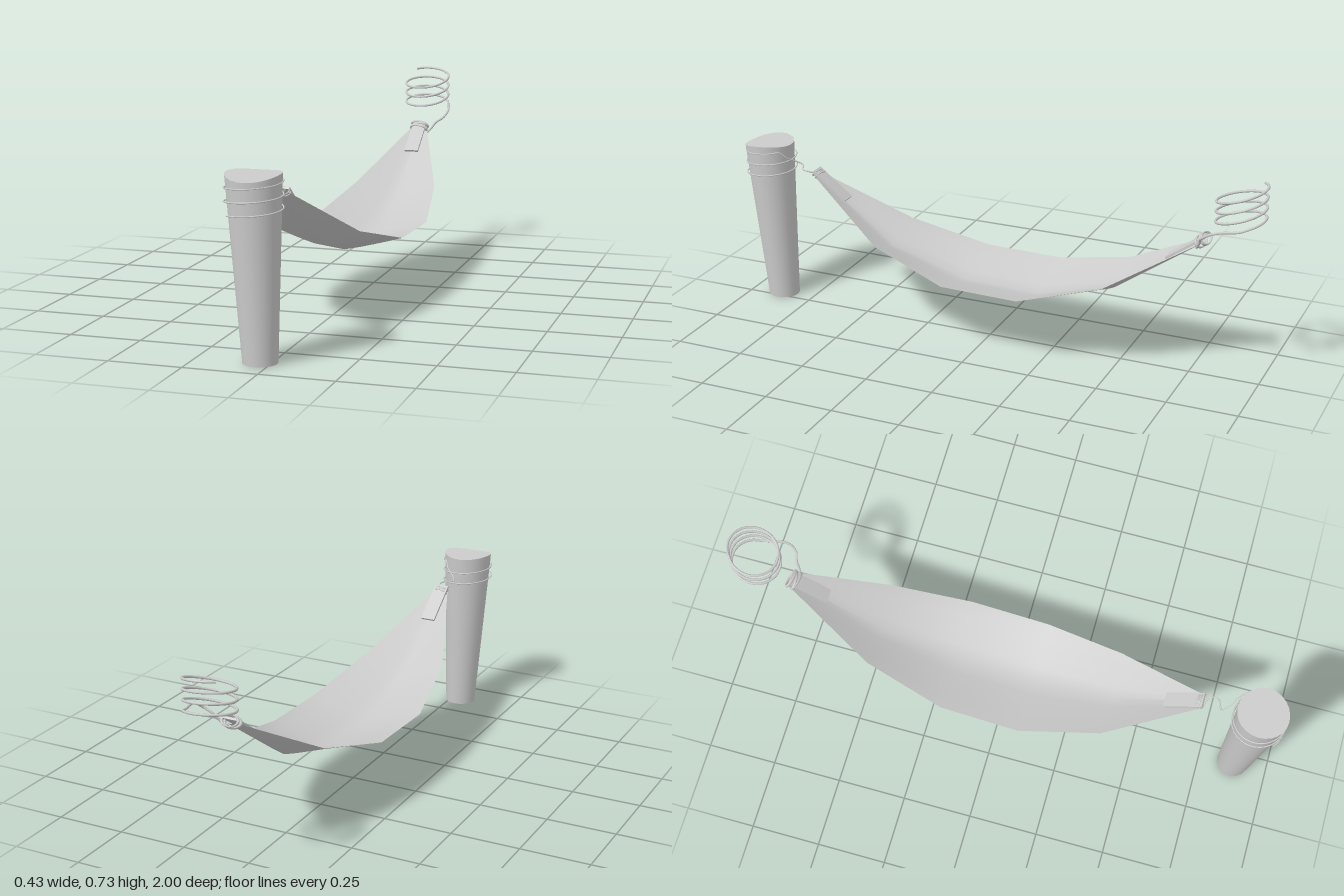
import * as THREE from 'three';

const mat = new THREE.MeshStandardMaterial({ color: 0xcccccc });
const clothMat = new THREE.MeshStandardMaterial({ color: 0xcccccc, side: THREE.DoubleSide });

function add(parent, name, geometry, material = mat) {
  const mesh = new THREE.Mesh(geometry, material);
  mesh.name = name;
  parent.add(mesh);
  return mesh;
}

function tube(points, radius, segments) {
  return new THREE.TubeGeometry(new THREE.CatmullRomCurve3(points), segments, radius, 7);
}

// Leaning tapered post with an uneven sawn top
function postGeometry() {
  const geo = new THREE.CylinderGeometry(0.09, 0.057, 0.6, 24, 1);
  const pos = geo.attributes.position;
  for (let i = 0; i < pos.count; i++) {
    const x = pos.getX(i), z = pos.getZ(i);
    const top = pos.getY(i) > 0;
    const a = Math.atan2(x, z);
    const rim = Math.hypot(x, z) > 0.01 ? 1 : 0;
    const y = top ? 0.602 - rim * (0.006 * Math.cos(a) + 0.006 * Math.cos(2 * a)) : 0;
    pos.setXYZ(i, x + (top ? -0.04 : -0.037), y, z + (top ? 0.91 : 0.875));
  }
  return geo;
}

// Sagging sheet lofted through V-shaped cross-sections
function clothGeometry() {
  // z, centre x, half width, centre y, edge y
  const sections = [
    [0.71, -0.022, 0.022, 0.508, 0.514],
    [0.39, -0.015, 0.155, 0.28, 0.332],
    [0.1, -0.005, 0.211, 0.2, 0.254],
    [-0.19, 0.005, 0.211, 0.2, 0.254],
    [-0.48, 0.015, 0.155, 0.28, 0.332],
    [-0.8, 0.028, 0.026, 0.508, 0.514],
  ];
  const n = 8, verts = [], index = [];
  sections.forEach(([z, cx, hw, yc, ye], i) => {
    for (let j = 0; j <= n; j++) {
      const t = (j / n) * 2 - 1;
      verts.push(cx + t * hw, yc + (ye - yc) * Math.pow(Math.abs(t), 1.15), z);
      if (i < sections.length - 1 && j < n) {
        const a = i * (n + 1) + j, b = a + n + 1;
        index.push(a, a + 1, b, a + 1, b + 1, b);
      }
    }
  });
  const geo = new THREE.BufferGeometry();
  geo.setAttribute('position', new THREE.Float32BufferAttribute(verts, 3));
  geo.setIndex(index);
  geo.computeVertexNormals();
  return geo;
}

// Strap along the gathered end plus the cord wraps that bind it
function endTie(name, x, z, tilt, wrapRadius, cordRadius, wraps) {
  const group = new THREE.Group();
  group.name = name;
  group.position.set(x, 0.508, z);
  group.rotation.x = tilt;
  const dir = Math.sign(z);
  const strap = add(group, 'strap', new THREE.BoxGeometry(0.053, 0.008, 0.16));
  strap.position.set(0, 0.011, -dir * 0.064);
  for (let i = 0; i < wraps; i++) {
    const wrap = add(group, 'cordWrap', new THREE.TorusGeometry(wrapRadius, cordRadius, 7, 24));
    wrap.scale.y = 0.6;
    wrap.rotation.y = 0.15 * (i % 2 ? 1 : -1);
    wrap.position.set(0, 0.004, (i - (wraps - 1) / 2) * cordRadius * 2.2);
  }
  return group;
}

export function createModel() {
  const model = new THREE.Group();
  model.name = 'hammock';

  add(model, 'post', postGeometry());
  add(model, 'cloth', clothGeometry(), clothMat);
  model.add(endTie('frontTie', -0.022, 0.7, -0.65, 0.026, 0.003, 3));
  model.add(endTie('backTie', 0.028, -0.79, 0.62, 0.033, 0.005, 3));

  // Thin rope from the front tie, wound down around the post
  const rope = [[-0.02, 0.512, 0.71], [0.0, 0.523, 0.735], [-0.005, 0.526, 0.755],
    [-0.04, 0.53, 0.772], [-0.025, 0.545, 0.795], [0.0, 0.56, 0.813]]
    .map((p) => new THREE.Vector3(...p));
  const start = Math.PI - 0.75, end = -0.75 - 4 * Math.PI;
  for (let i = 0; i <= 60; i++) {
    const a = start + (end - start) * (i / 60);
    rope.push(new THREE.Vector3(
      -0.042 + 0.092 * Math.sin(a),
      0.58 - 0.042 * (Math.PI / 2 - a) / (2 * Math.PI),
      0.905 + 0.092 * Math.cos(a)));
  }
  add(model, 'postRope', tube(rope, 0.0025, 240));

  // Tilted loose coil at the back, ending in a tail to the back tie
  const coil = [];
  for (let i = 0; i <= 70; i++) {
    const a = -0.8 + (6.45 * Math.PI + 0.8) * (i / 70);
    coil.push(new THREE.Vector3(
      0.027 + 0.084 * Math.sin(a),
      0.701 + 0.021 * Math.cos(a) - 0.036 * a / (2 * Math.PI),
      -0.912 - 0.084 * Math.cos(a)));
  }
  [[0.124, 0.583, -0.87], [0.132, 0.573, -0.835], [0.12, 0.55, -0.805], [0.092, 0.53, -0.795],
    [0.078, 0.51, -0.785], [0.06, 0.492, -0.775], [0.045, 0.495, -0.775]]
    .forEach((p) => coil.push(new THREE.Vector3(...p)));
  add(model, 'coiledRope', tube(coil, 0.0045, 280));

  return model;
}
